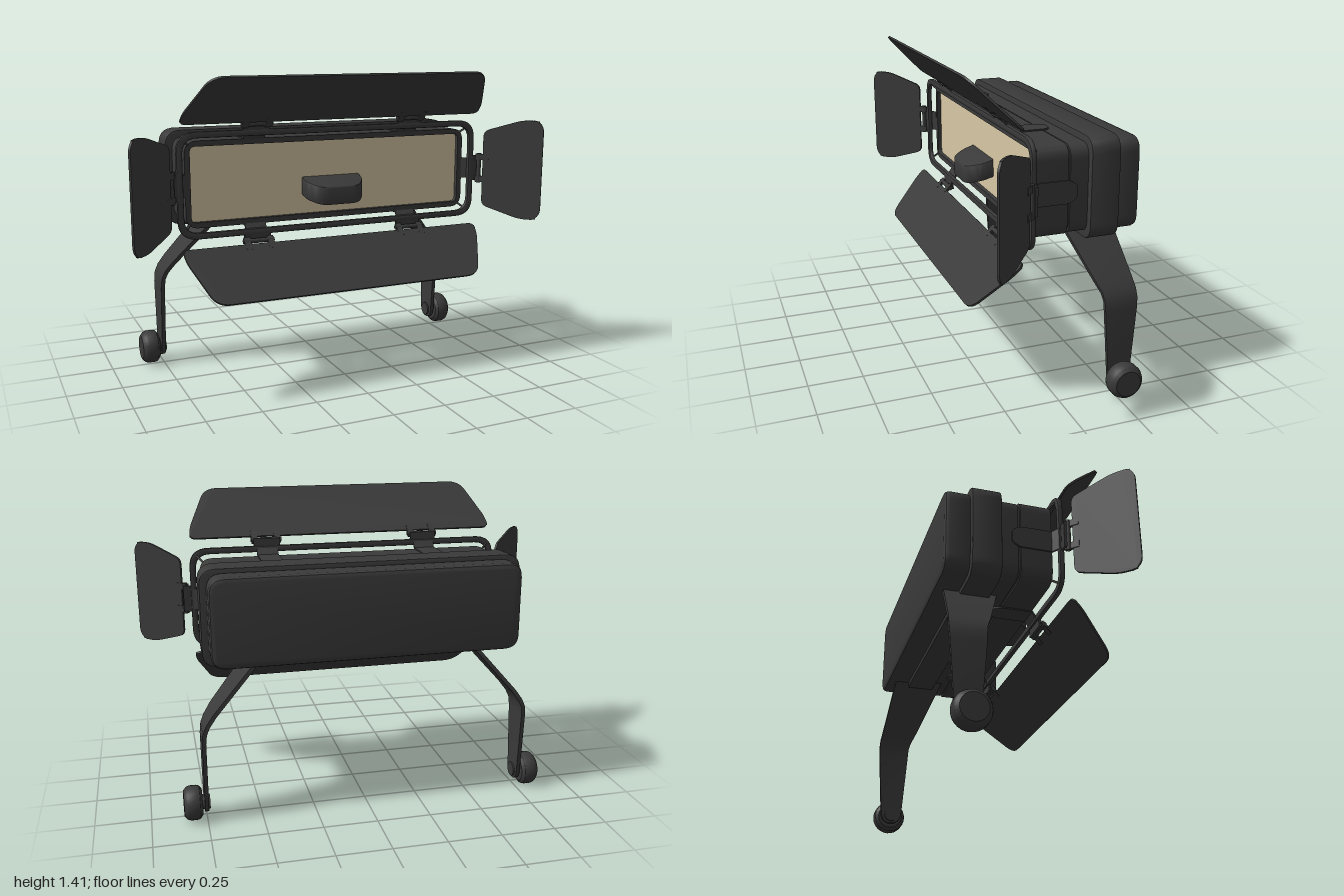
import * as THREE from 'three';
import { toCreasedNormals } from 'three/addons/utils/BufferGeometryUtils.js';

const dark = new THREE.MeshStandardMaterial({ color: 0x3a3a3a, side: THREE.DoubleSide });
const cream = new THREE.MeshStandardMaterial({ color: 0xd8c8a4 });
const CY = 0.93; // height of the lamp axis

function add(parent, name, geo, mat = dark) {
  const mesh = new THREE.Mesh(geo, mat);
  mesh.name = name;
  parent.add(mesh);
  return mesh;
}

// Polygon with every corner rounded; points are [x, y, radius]
function roundedPoly(pts, target = new THREE.Shape()) {
  const n = pts.length;
  pts.forEach(([x, y, r], i) => {
    const c = new THREE.Vector2(x, y);
    const near = (j) => {
      const d = new THREE.Vector2(pts[j][0], pts[j][1]).sub(c).normalize();
      return d.multiplyScalar(r).add(c);
    };
    const a = near((i + n - 1) % n), b = near((i + 1) % n);
    if (i === 0) target.moveTo(a.x, a.y);
    else target.lineTo(a.x, a.y);
    target.quadraticCurveTo(x, y, b.x, b.y);
  });
  target.closePath();
  return target;
}

function roundedRect(hw, hh, r, target) {
  return roundedPoly([[-hw, -hh, r], [hw, -hh, r], [hw, hh, r], [-hw, hh, r]], target);
}

// Extrudes a shape from z0 to z1 with bevelled rims kept inside that depth
function solid(shape, z0, z1, bevel = 0) {
  const geo = new THREE.ExtrudeGeometry(shape, {
    depth: z1 - z0 - 2 * bevel, bevelEnabled: bevel > 0, bevelThickness: bevel,
    bevelSize: bevel, bevelOffset: -bevel, bevelSegments: 2, curveSegments: 8,
  });
  geo.translate(0, 0, z0 + bevel);
  return toCreasedNormals(geo, 0.6);
}

// Sheet of given thickness swept through rows of [x, y, zFront, zBack]
function strip(rows, t) {
  const pos = [], idx = [];
  rows.forEach(([x, y, zf, zb], i) => {
    const p = rows[Math.max(i - 1, 0)], q = rows[Math.min(i + 1, rows.length - 1)];
    const n = new THREE.Vector2(p[1] - q[1], q[0] - p[0]).normalize().multiplyScalar(t / 2);
    pos.push(x + n.x, y + n.y, zf, x + n.x, y + n.y, zb, x - n.x, y - n.y, zb, x - n.x, y - n.y, zf);
  });
  for (let i = 0; i < rows.length - 1; i++) {
    for (let k = 0; k < 4; k++) {
      const a = i * 4 + k, b = i * 4 + (k + 1) % 4;
      idx.push(a, b, a + 4, b, b + 4, a + 4);
    }
  }
  const e = (rows.length - 1) * 4;
  idx.push(0, 2, 1, 0, 3, 2, e, e + 1, e + 2, e, e + 2, e + 3);
  const geo = new THREE.BufferGeometry();
  geo.setAttribute('position', new THREE.Float32BufferAttribute(pos, 3));
  geo.setIndex(idx);
  return toCreasedNormals(geo, 0.6);
}

// One hinged flap with its clips, built pointing up and turned about the lamp axis
function barnDoor(name, angle, bodyEdge, ringEdge, outline, hinges, halfHinge) {
  const door = new THREE.Group();
  door.name = name;
  const flapEdge = ringEdge + 0.038;
  const flap = add(door, name + 'Panel', solid(roundedPoly(outline), -0.005, 0.005));
  flap.position.set(0, flapEdge, 0.165);
  flap.rotation.x = Math.PI / 4;
  for (const hx of hinges) {
    const hinge = new THREE.Group();
    hinge.name = 'hinge';
    hinge.position.x = hx;
    // Strap lying on the housing
    const strap = add(hinge, 'hingeStrap', solid(roundedPoly([
      [-0.05, -0.1, 0.002], [0.05, -0.1, 0.002], [0.05, 0.045, 0.015],
      [0.028, 0.08, 0.015], [-0.028, 0.08, 0.015], [-0.05, 0.045, 0.015]]), 0, 0.008));
    strap.rotation.x = -Math.PI / 2;
    strap.position.y = bodyEdge;
    // Arm up to the wire frame
    const rise = ringEdge - bodyEdge;
    const arm = add(hinge, 'hingeArm', new THREE.BoxGeometry(0.1, Math.hypot(rise, 0.03), 0.008));
    arm.position.set(0, bodyEdge + rise / 2, 0.113);
    arm.rotation.x = Math.atan2(0.03, rise);
    const post = add(hinge, 'hingePost', new THREE.BoxGeometry(halfHinge * 1.7, 0.06, 0.012));
    post.position.set(0, ringEdge + 0.005, 0.132);
    const pin = add(hinge, 'hingePin', new THREE.CylinderGeometry(0.011, 0.011, halfHinge * 2, 12));
    pin.rotation.z = Math.PI / 2;
    pin.position.set(0, ringEdge + 0.026, 0.148);
    for (const s of [-1, 1]) {
      const tab = add(hinge, 'hingeTab', new THREE.BoxGeometry(0.03, 0.065, 0.014));
      tab.position.set(s * (halfHinge - 0.018), flapEdge - 0.002, 0.161);
      tab.rotation.x = Math.PI / 4;
    }
    door.add(hinge);
  }
  door.position.y = CY;
  door.rotation.z = angle;
  return door;
}

export function createModel() {
  const model = new THREE.Group();
  model.name = 'floodLamp';

  // Housing: hollow front rim, core, raised band and back cover
  const housing = new THREE.Group();
  housing.name = 'housing';
  housing.position.y = CY;
  model.add(housing);
  const rim = roundedRect(0.705, 0.195, 0.06);
  rim.holes.push(roundedRect(0.68, 0.17, 0.025, new THREE.Path()));
  add(housing, 'frontRim', solid(rim, -0.04, 0.1));
  add(housing, 'core', solid(roundedRect(0.695, 0.185, 0.06), -0.2, 0.06));
  add(housing, 'middleShell', solid(roundedRect(0.703, 0.191, 0.06), -0.15, -0.05));
  add(housing, 'raisedBand', solid(roundedRect(0.735, 0.221, 0.075), -0.26, -0.13, 0.005));
  add(housing, 'backCover', solid(roundedRect(0.705, 0.202, 0.07), -0.37, -0.25, 0.02));
  add(housing, 'lightPanel', solid(roundedRect(0.681, 0.171, 0.025), 0.05, 0.08), cream);

  // Downward sloping D-shaped hood on the panel
  const hood = solid(roundedPoly([[-0.145, -0.07, 0.001], [0.145, -0.07, 0.001], [0.145, -0.13, 0.03],
    [0.095, -0.2, 0.04], [-0.095, -0.2, 0.04], [-0.145, -0.13, 0.03]]), 0, 0.085, 0.006);
  hood.rotateX(-Math.PI / 2);
  const hp = hood.attributes.position;
  for (let i = 0; i < hp.count; i++) hp.setY(i, hp.getY(i) - (hp.getZ(i) - 0.08) * 0.3);
  add(model, 'hood', toCreasedNormals(hood, 0.6)).position.y = 0.847;

  // Frame in front of the housing, held by corner struts
  const frame = roundedRect(0.75, 0.238, 0.09);
  frame.holes.push(roundedRect(0.722, 0.21, 0.07, new THREE.Path()));
  add(housing, 'doorFrame', solid(frame, 0.117, 0.139, 0.005));
  for (const sx of [-1, 1]) {
    for (const sy of [-1, 1]) {
      const path = new THREE.LineCurve3(new THREE.Vector3(sx * 0.685, sy * 0.175, 0.095),
        new THREE.Vector3(sx * 0.724, sy * 0.212, 0.13));
      add(housing, 'cornerStrut', new THREE.TubeGeometry(path, 1, 0.005, 6));
    }
  }

  // Four barn doors
  const longFlap = [[-0.74, 0, 0.03], [0.74, 0, 0.03], [0.74, 0.055, 0.04],
    [0.65, 0.29, 0.06], [-0.65, 0.29, 0.06], [-0.74, 0.055, 0.04]];
  const shortFlap = [[-0.185, 0, 0.03], [0.185, 0, 0.03], [0.25, 0.21, 0.06],
    [0.235, 0.29, 0.05], [-0.235, 0.29, 0.05], [-0.25, 0.21, 0.06]];
  model.add(
    barnDoor('topDoor', 0, 0.193, 0.238, longFlap, [-0.385, 0.385], 0.073),
    barnDoor('bottomDoor', Math.PI, 0.193, 0.238, longFlap, [-0.385, 0.385], 0.073),
    barnDoor('leftDoor', -Math.PI / 2, 0.703, 0.75, shortFlap, [0], 0.073),
    barnDoor('rightDoor', Math.PI / 2, 0.703, 0.75, shortFlap, [0], 0.073),
  );

  // Bent legs with round feet
  const legRows = [[0.5, 0.745, -0.085, -0.325], [0.53, 0.71, -0.1, -0.33], [0.7, 0.515, -0.175, -0.35],
    [0.732, 0.47, -0.195, -0.356], [0.747, 0.435, -0.202, -0.357], [0.752, 0.39, -0.204, -0.354],
    [0.752, 0.08, -0.228, -0.332], [0.752, 0.052, -0.24, -0.32], [0.752, 0.037, -0.262, -0.298]];
  const footProfile = [[0, 0], [0.06, 0], [0.075, 0.012], [0.079, 0.025], [0.079, 0.055],
    [0.073, 0.07], [0.058, 0.083], [0, 0.083]].map(([r, h]) => new THREE.Vector2(r, h));
  const footGeo = toCreasedNormals(new THREE.LatheGeometry(footProfile, 28), 0.5);
  for (const s of [1, -1]) {
    const side = new THREE.Group();
    side.name = s > 0 ? 'leftLeg' : 'rightLeg';
    add(side, 'leg', strip(legRows.map(([x, y, f, b]) => [s * x, y, f, b]), 0.018));
    const foot = add(side, 'foot', footGeo);
    foot.position.set(s * 0.77, 0.079, -0.28);
    foot.rotation.z = -s * Math.PI / 2;
    const hub = add(side, 'footHub', new THREE.CylinderGeometry(0.034, 0.034, 0.04, 20));
    hub.position.set(s * 0.755, 0.079, -0.28);
    hub.rotation.z = Math.PI / 2;
    model.add(side);
  }
  return model;
}
